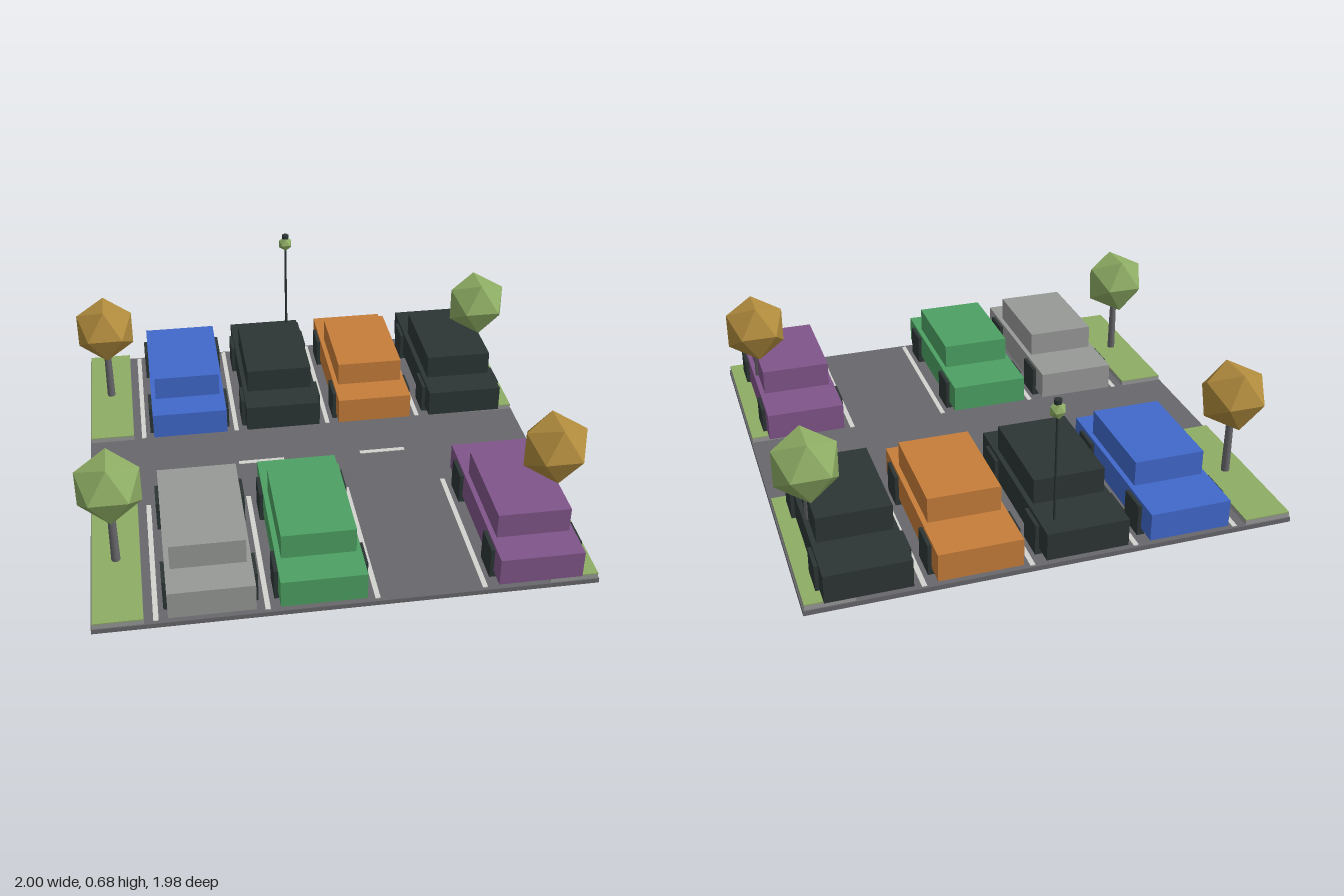
import * as THREE from 'three';

const mat = (name, color, flatShading = false) => {
  const m = new THREE.MeshStandardMaterial({ color, flatShading });
  m.name = name;
  return m;
};

export function createModel() {
  const M = {
    asphalt: mat('asphalt', 0x68686c),
    dark: mat('charcoal', 0x2c3534),
    white: mat('linePaint', 0xd2d2ce),
    blue: mat('bluePaint', 0x4169cc),
    orange: mat('orangePaint', 0xc67d3a),
    grey: mat('greyPaint', 0x979997),
    green: mat('greenPaint', 0x4da163),
    purple: mat('purplePaint', 0x7f5589),
    leaf: mat('leafGreen', 0x8dac63, true),
    autumn: mat('autumnLeaf', 0xb08b3d, true),
  };
  const root = new THREE.Group();
  root.name = 'parkingLot';

  const add = (parent, name, geo, material, x, y, z) => {
    const mesh = new THREE.Mesh(geo, material);
    mesh.name = name;
    mesh.position.set(x, y, z);
    parent.add(mesh);
    return mesh;
  };
  // box given by its size, centre x/z and bottom height
  const box = (parent, name, material, w, h, d, x, y, z) =>
    add(parent, name, new THREE.BoxGeometry(w, h, d), material, x, y + h / 2, z);
  const group = (name, x, z) => {
    const g = new THREE.Group();
    g.name = name;
    g.position.set(x, 0, z);
    root.add(g);
    return g;
  };

  box(root, 'ground', M.asphalt, 1.95, 0.02, 1.95, 0, 0, 0);

  // painted bay lines and centre dashes
  for (const z of [-0.61, 0.605])
    for (const x of [-0.735, -0.315, 0.105, 0.525])
      box(root, 'bayLine', M.white, 0.02, 0.003, 0.71, x, 0.02, z);
  for (const x of [-0.23, 0.31])
    box(root, 'centreDash', M.white, 0.2, 0.003, 0.02, x, 0.02, 0);

  // corner kerbs with grass and a tree on each
  for (const sx of [-1, 1]) {
    for (const sz of [-1, 1]) {
      const corner = group('cornerBed', sx * 0.875, sz * 0.61);
      box(corner, 'kerb', M.grey, 0.19, 0.02, 0.72, 0, 0.02, 0);
      box(corner, 'grass', M.leaf, 0.19, 0.004, 0.72, 0, 0.04, 0);
      add(corner, 'trunk', new THREE.CylinderGeometry(0.015, 0.018, 0.28, 8), M.asphalt, 0, 0.18, 0);
      const crown = add(corner, 'crown', new THREE.IcosahedronGeometry(0.145, 0),
        sx === sz ? M.autumn : M.leaf, 0, 0.4, 0);
      crown.rotation.y = Math.PI / 2;
    }
  }

  // parked cars
  const car = (paint, x, z) => {
    const g = group('car', x, z);
    box(g, 'body', paint, 0.33, 0.115, 0.78, 0, 0.05, 0);
    box(g, 'cabin', paint, 0.29, 0.105, 0.43, 0, 0.165, 0.035);
    for (const sx of [-1, 1])
      for (const wz of [-0.24, 0.245])
        box(g, 'wheel', M.dark, 0.03, 0.13, 0.125, sx * 0.165, 0.02, wz);
  };
  [M.blue, M.dark, M.orange, M.dark].forEach((p, i) => car(p, -0.525 + i * 0.42, -0.6));
  [M.grey, M.green, null, M.purple].forEach((p, i) => p && car(p, -0.525 + i * 0.42, 0.595));

  // lamp post
  const lamp = group('lampPost', 0, -0.9);
  add(lamp, 'pole', new THREE.CylinderGeometry(0.005, 0.006, 0.59, 8), M.dark, 0, 0.315, 0);
  add(lamp, 'lantern', new THREE.IcosahedronGeometry(0.034, 0), M.leaf, 0, 0.634, 0).rotation.y = Math.PI / 2;
  add(lamp, 'cap', new THREE.CylinderGeometry(0.016, 0.016, 0.018, 8), M.dark, 0, 0.67, 0);

  return root;
}
